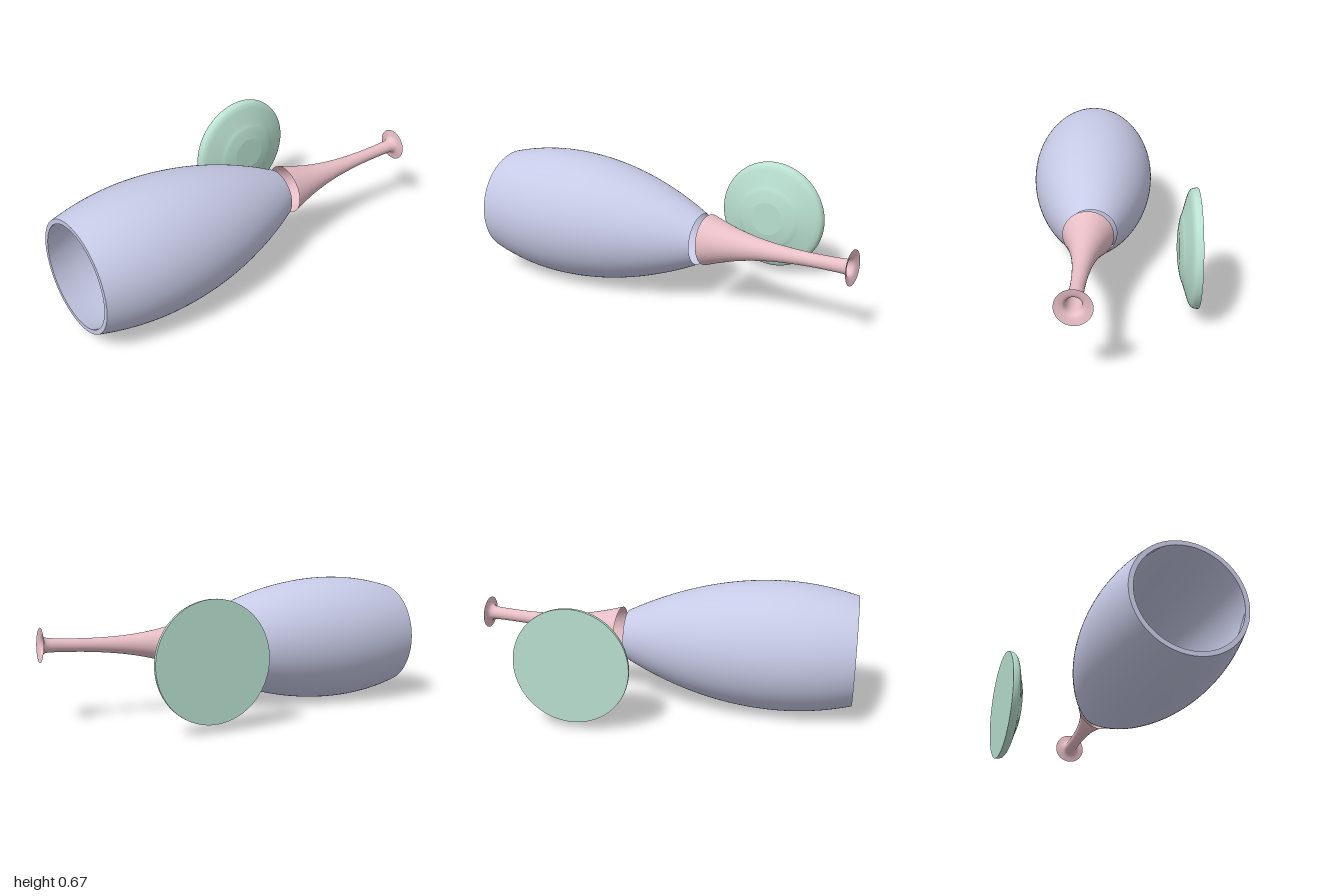
import * as THREE from 'three';

const v2 = (pts) => pts.map(([r, h]) => new THREE.Vector2(Math.max(r, 0), h));
const smooth = (pts, n = 32) => new THREE.SplineCurve(v2(pts)).getPoints(n).map((p) => p.setX(Math.max(p.x, 0)));

// Turned part around +y; each section is smooth, with a sharp edge between sections
function turned(name, color, sections) {
  const group = new THREE.Group();
  group.name = name;
  const material = new THREE.MeshStandardMaterial({ color, side: THREE.DoubleSide });
  for (const [part, points] of Object.entries(sections)) {
    const mesh = new THREE.Mesh(new THREE.LatheGeometry(points, 96), material);
    mesh.name = part;
    group.add(mesh);
  }
  return group;
}

const UP = new THREE.Vector3(0, 1, 0);
function place(part, base, direction) {
  part.position.set(...base);
  part.quaternion.setFromUnitVectors(UP, new THREE.Vector3(...direction).normalize());
  return part;
}

export function createModel() {
  const model = new THREE.Group();

  // Barrel-shaped vessel lying along z, mouth towards the front
  const outer = [];
  for (let i = 0; i <= 40; i++) {
    const z = -0.185 + (1.185 * i) / 40;
    const d = z - 0.62;
    outer.push([0.334 - (d > 0 ? 0.374 : 0.315) * d * d, z]);
  }
  const cavity = [[0.257, 1], [0.292, 0.85], [0.309, 0.62], [0.297, 0.4], [0.262, 0.2],
    [0.225, 0.08], [0.185, 0.01], [0.1, -0.03], [0, -0.04]];
  const vessel = turned('vessel', 0xc7cae6, {
    vesselWall: v2(outer),
    mouthRim: v2([[0.28, 1], [0.257, 1]]),
    vesselCavity: smooth(cavity, 48),
  });
  model.add(place(vessel, [0.092, 0.335, 0], [0, 0, 1]));

  // Hollow, slightly tilted neck, flaring out to a thin lip
  const neck = turned('neck', 0xe8bfc6, {
    neckWall: smooth([[0.128, 0], [0.102, 0.08], [0.077, 0.17], [0.057, 0.27], [0.044, 0.37],
      [0.036, 0.48], [0.033, 0.58], [0.034, 0.7], [0.038, 0.738], [0.052, 0.754], [0.085, 0.762]], 60),
  });
  model.add(place(neck, [0.105, 0.347, -0.234], [0.045, 0.037, -0.762]));

  // Separate round lid standing on edge, domed side towards +x
  const lid = turned('lid', 0xb9e0d0, {
    lidBack: v2([[0, 0], [0.292, 0]]),
    lidDome: smooth([[0.292, 0], [0.292, 0.012], [0.286, 0.031], [0.27, 0.043], [0.245, 0.052],
      [0.18, 0.072], [0.15, 0.083], [0.09, 0.094]], 40),
    lidTop: v2([[0.09, 0.094], [0, 0.094]]),
  });
  model.add(place(lid, [-0.427, 0.333, -0.345], [1, 0, 0]));

  return model;
}
